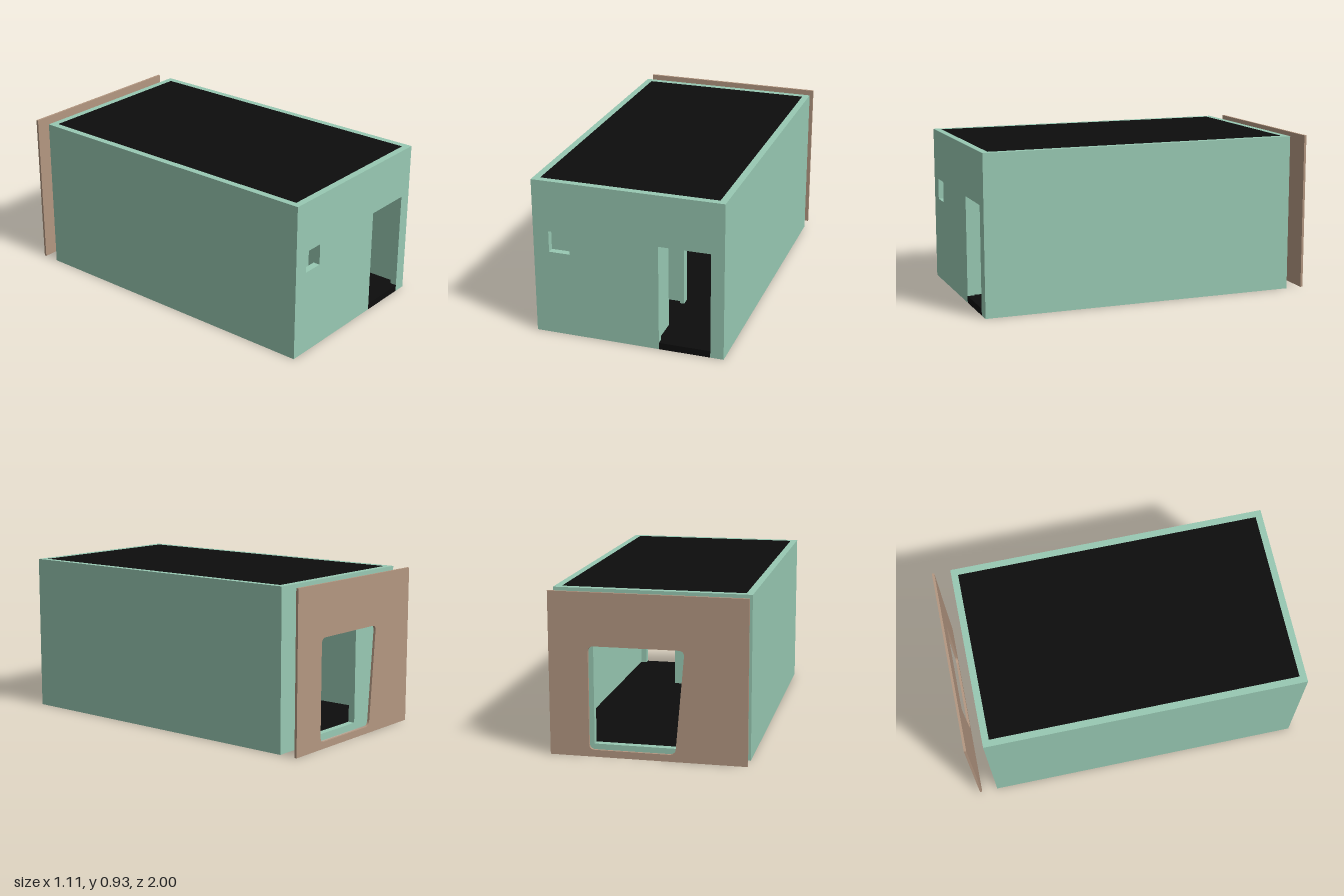
import * as THREE from 'three';

const wallMat = new THREE.MeshStandardMaterial({ color: 0x98c9b3 });
const panelMat = new THREE.MeshStandardMaterial({ color: 0xb39781 });
const slabMat = new THREE.MeshStandardMaterial({ color: 0x0d0d0d });

const W = 0.557, H = 0.93, T = 0.04; // half width, height, wall and slab thickness
const FRONT = 1, BACK = -0.89;

export function createModel() {
  const group = new THREE.Group();

  const add = (name, geometry, material) => {
    const mesh = new THREE.Mesh(geometry, material);
    mesh.name = name;
    group.add(mesh);
    return mesh;
  };

  // box given by its lower and upper limits on each axis
  const box = (name, [x0, x1], [y0, y1], [z0, z1], material = wallMat) =>
    add(name, new THREE.BoxGeometry(x1 - x0, y1 - y0, z1 - z0), material)
      .position.set((x0 + x1) / 2, (y0 + y1) / 2, (z0 + z1) / 2);

  const polygon = (points, Type = THREE.Shape) =>
    new Type(points.map(([x, y]) => new THREE.Vector2(x, y)));

  const rect = (x0, x1, y0, y1) =>
    polygon([[x0, y0], [x1, y0], [x1, y1], [x0, y1]], THREE.Path);

  // opening with rounded corners
  const roundedPath = (points, r) => {
    const path = new THREE.Path();
    const corners = points.map(([x, y]) => new THREE.Vector2(x, y));
    corners.forEach((p, i) => {
      const toward = (q) => q.clone().sub(p).setLength(r).add(p);
      const a = toward(corners.at(i - 1));
      const b = toward(corners[(i + 1) % corners.length]);
      if (i === 0) path.moveTo(a.x, a.y);
      else path.lineTo(a.x, a.y);
      path.quadraticCurveTo(p.x, p.y, b.x, b.y);
    });
    path.closePath();
    return path;
  };

  // upright plate facing z, with holes
  const plate = (name, shape, holes, z, depth, material) => {
    shape.holes.push(...holes);
    const geometry = new THREE.ExtrudeGeometry(shape, { depth, bevelEnabled: false, curveSegments: 8 });
    add(name, geometry, material).position.z = z;
  };

  const outline = () => polygon([[-W, 0], [W, 0], [W, H], [-W, H]]);

  // front wall with doorway and small window
  const door = [0.18, 0.48], doorTop = 0.63;
  plate('frontWall',
    polygon([[-W, 0], [door[0], 0], [door[0], doorTop], [door[1], doorTop], [door[1], 0], [W, 0], [W, H], [-W, H]]),
    [rect(-0.465, -0.34, 0.505, 0.63)], FRONT - T, T, wallMat);

  // back wall with large window
  plate('backWall', outline(), [rect(-0.167, 0.333, T, doorTop)], BACK, T, wallMat);

  // side walls
  box('leftWall', [W - T, W], [0, H], [BACK + T, FRONT - T]);
  box('rightWall', [-W, -W + T], [0, H], [BACK + T, FRONT - T]);

  // floor, door sill and ceiling
  const inX = [-W + T, W - T], inZ = [BACK + T, FRONT - T];
  box('floor', inX, [0, T], inZ, slabMat);
  box('doorSill', door, [0, T], [FRONT - T, FRONT], slabMat);
  box('ceiling', inX, [H - T, H], inZ, slabMat);

  // small inner room: back partition, and side partition with a doorway
  const inY = [T, H - T], px = [0.14, 0.165];
  box('partitionBack', [inX[0], px[1]], inY, [0.46, 0.485]);
  box('partitionSideRear', px, inY, [0.485, 0.51]);
  box('partitionSideFront', px, inY, [0.785, inZ[1]]);
  box('partitionHeader', px, [doorTop, H - T], [0.51, 0.785]);

  // shaft behind the small window
  box('shaftBack', [inX[0], -0.27], inY, [0.87, 0.89]);
  box('shaftSide', [-0.29, -0.27], inY, [0.89, inZ[1]]);

  // separate facade panel behind the building, with a tapered opening
  plate('facadePanel', outline(),
    [roundedPath([[0.333, T], [0.333, doorTop], [-0.207, doorTop], [-0.155, T]], 0.035)],
    -1, 0.014, panelMat);

  return group;
}
